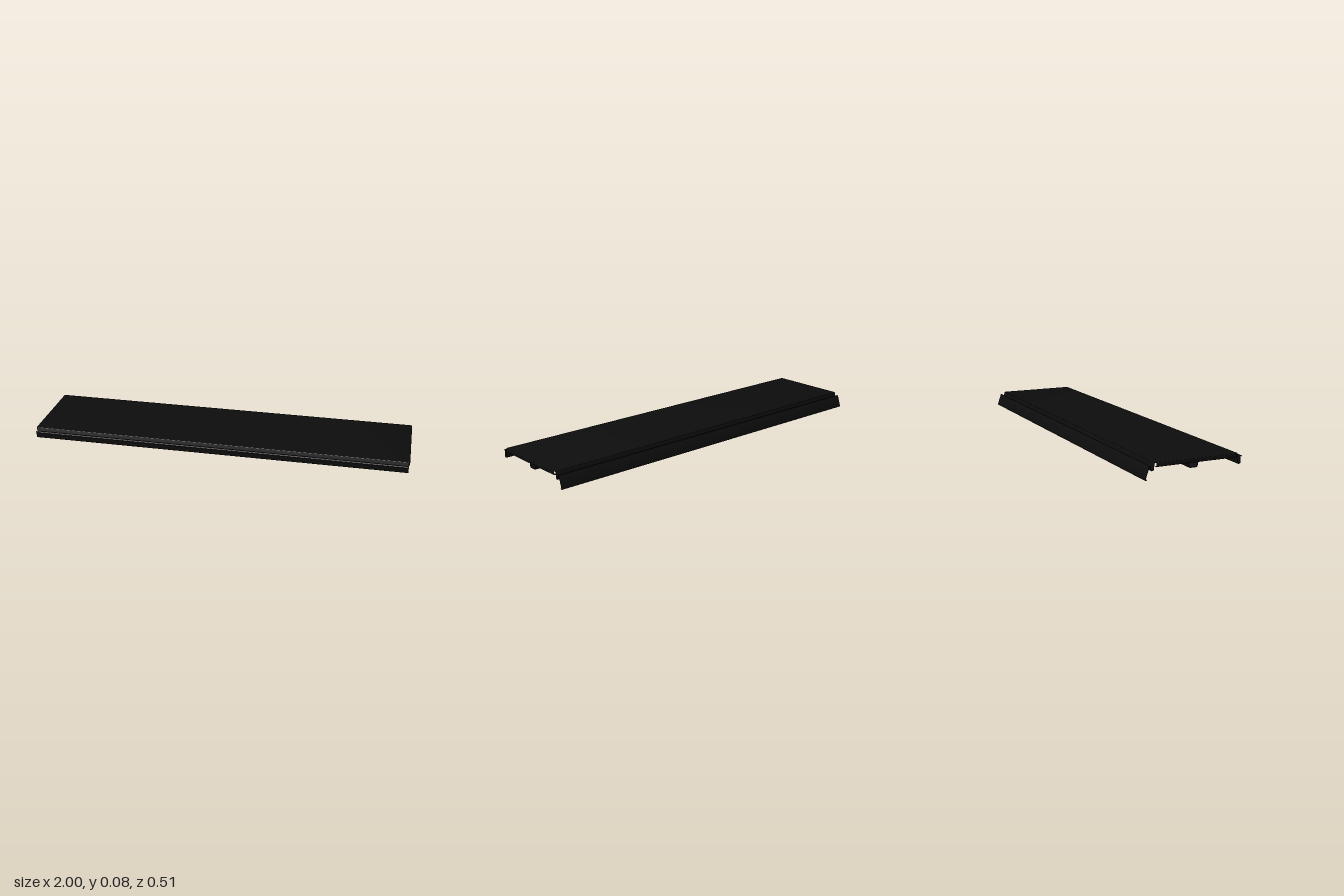
import * as THREE from 'three';
import { toCreasedNormals } from 'three/addons/utils/BufferGeometryUtils.js';

const T = 0.0016; // sheet thickness
const material = new THREE.MeshStandardMaterial({ color: 0x0d0d0d, side: THREE.DoubleSide });

// Polyline with every inner corner rounded to at most radius r
function roundedLine(corners, r) {
  const p = corners.map(([a, b]) => new THREE.Vector2(a, b));
  const out = [p[0]];
  for (let i = 1; i < p.length - 1; i++) {
    const toward = (q) => {
      const d = q.clone().sub(p[i]);
      return p[i].clone().addScaledVector(d, Math.min(r, d.length() * 0.48) / d.length());
    };
    out.push(...new THREE.QuadraticBezierCurve(toward(p[i - 1]), p[i], toward(p[i + 1])).getPoints(5));
  }
  out.push(p[p.length - 1]);
  return out;
}

// Sheet metal of thickness T bent along a polyline and extruded, centred on its length
function bentSheet(name, corners, radius, length, alongX) {
  const line = roundedLine(corners, radius);
  const sides = [[], []];
  line.forEach((p, i) => {
    const a = line[Math.max(i - 1, 0)], b = line[Math.min(i + 1, line.length - 1)];
    const d = b.clone().sub(a).normalize();
    const n = new THREE.Vector2(-d.y, d.x).multiplyScalar(T / 2);
    sides[0].push(p.clone().add(n));
    sides[1].unshift(p.clone().sub(n));
  });
  const shape = new THREE.Shape([...sides[0], ...sides[1]]);
  let geo = new THREE.ExtrudeGeometry(shape, { depth: length, bevelEnabled: false });
  geo.translate(0, 0, -length / 2);
  if (alongX) geo.rotateY(-Math.PI / 2);
  geo = toCreasedNormals(geo, 0.6);
  const mesh = new THREE.Mesh(geo, material);
  mesh.name = name;
  return mesh;
}

export function createModel() {
  const group = new THREE.Group();
  group.name = 'sheetMetalPanel';
  const top = 0.08 - T / 2, end = 1 - T / 2, low = 0.06 + T / 2;

  // Face sheet with both ends folded down and hemmed inward
  const face = bentSheet('faceSheet', [
    [-end + 0.012, low], [-end, low], [-end, top],
    [end, top], [end, low], [end - 0.012, low],
  ], 0.003, 0.42, false);
  face.position.z = 0.011;
  group.add(face);

  // Front edge: a deep U channel ending in a small hook (z, y)
  group.add(bentSheet('frontEdgeChannel', [
    [0.22, top], [0.2275, top], [0.231, 0.0275], [0.2445, 0.0275],
    [0.2445, 0.066], [0.2485, 0.066], [0.253, 0.061],
  ], 0.004, 1.99, true));

  // Back edge: a shallow U channel, then a sloping skirt with a curled hem
  group.add(bentSheet('backEdgeSkirt', [
    [-0.198, top], [-0.206, top], [-0.2105, 0.0435], [-0.2235, 0.0435],
    [-0.2235, 0.066], [-0.2305, 0.066], [-0.2525, 0.001], [-0.2425, 0.005],
  ], 0.005, 1.99, true));

  // Central stiffening rib under the face sheet
  group.add(bentSheet('stiffeningRib', [
    [0.04, top - T], [0.0245, top - T], [0.0145, 0.036],
    [-0.0255, 0.036], [-0.0345, top - T], [-0.05, top - T],
  ], 0.004, 1.985, true));

  return group;
}
